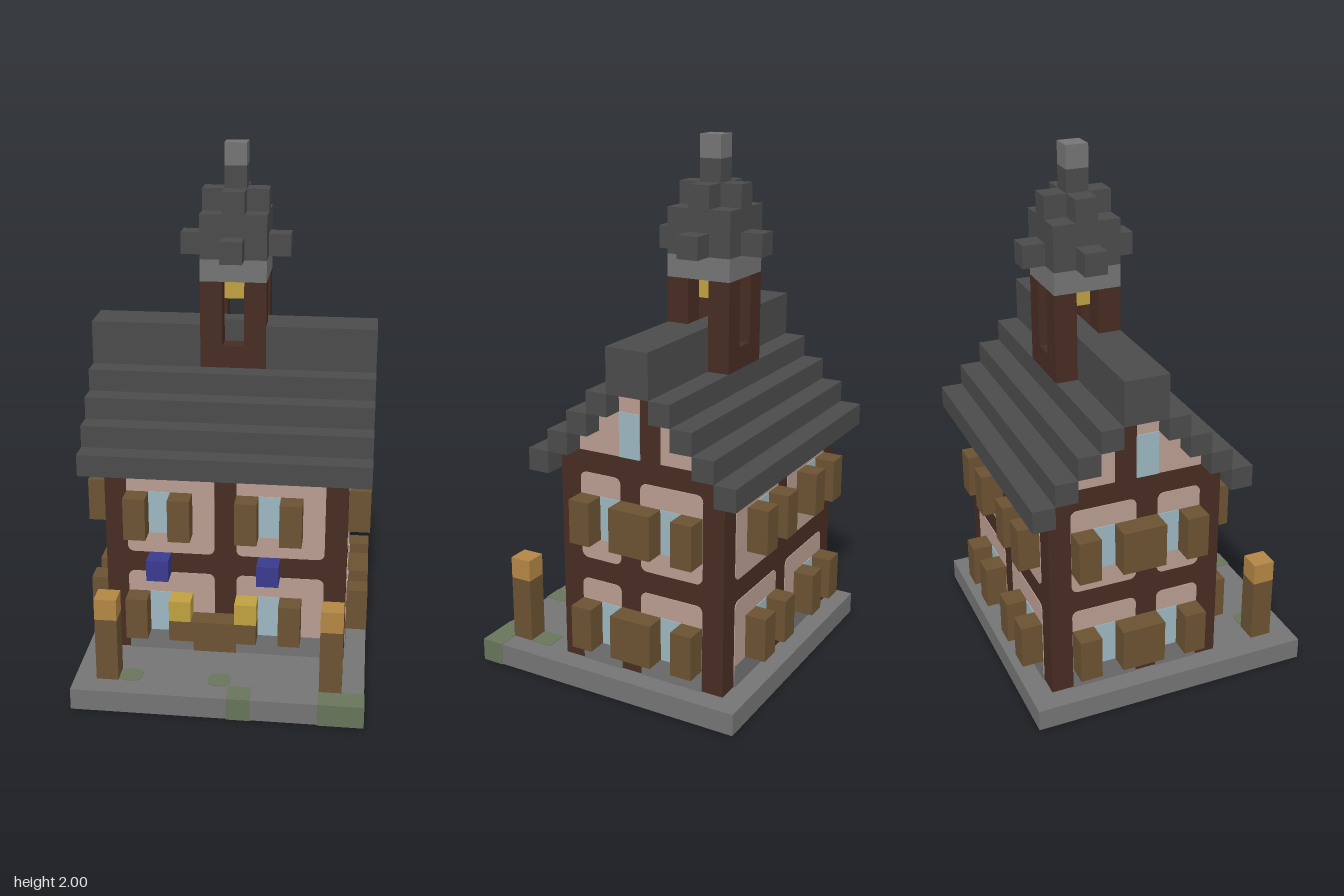
import * as THREE from 'three';

const U = 1 / 12; // one building block

const mat = (name, color) => Object.assign(new THREE.MeshStandardMaterial({ color }), { name });
const M = {
  slate: mat('slate', 0x4b4b4b),
  stone: mat('stone', 0x747474),
  timber: mat('timber', 0x472c22),
  plaster: mat('plaster', 0xb99d91),
  glass: mat('glass', 0x9db7c1),
  wood: mat('wood', 0x6b5233),
  gold: mat('gold', 0xbfa040),
  amber: mat('amber', 0xb38644),
  blue: mat('blue', 0x3a3a90),
  moss: mat('moss', 0x67745b),
};

// Outline with corners rounded by r
function panelShape(x0, y0, x1, y1, r) {
  const s = new THREE.Shape();
  if (!r) {
    s.moveTo(x0, y0).lineTo(x1, y0).lineTo(x1, y1).lineTo(x0, y1);
    return s;
  }
  s.moveTo(x0 + r, y0).lineTo(x1 - r, y0).absarc(x1 - r, y0 + r, r, -Math.PI / 2, 0);
  s.lineTo(x1, y1 - r).absarc(x1 - r, y1 - r, r, 0, Math.PI / 2);
  s.lineTo(x0 + r, y1).absarc(x0 + r, y1 - r, r, Math.PI / 2, Math.PI);
  s.lineTo(x0, y0 + r).absarc(x0 + r, y0 + r, r, Math.PI, Math.PI * 1.5);
  return s;
}

// The four walls: turn, direction of the world axis along the wall, distance from centre
const WALLS = {
  front: { turn: 0, sign: 1, x: 0, z: 2.5 * U },
  back: { turn: Math.PI, sign: -1, x: 0, z: -5.5 * U },
  right: { turn: Math.PI / 2, sign: -1, x: 5.5 * U, z: 0 },
  left: { turn: -Math.PI / 2, sign: 1, x: -5.5 * U, z: 0 },
};

export function createModel() {
  const root = new THREE.Group();
  root.name = 'timberHouse';

  // Block spanning whole cells, inclusive; x and z cells are centred on 0
  function block(name, m, i0, i1, j0, j1, k0, k1, grow = 0) {
    const g = new THREE.BoxGeometry(
      (i1 - i0 + 1) * U + grow, (j1 - j0 + 1) * U + grow, (k1 - k0 + 1) * U + grow);
    const mesh = new THREE.Mesh(g, m);
    mesh.position.set((i0 + i1) / 2 * U, (j0 + j1 + 1) / 2 * U, (k0 + k1) / 2 * U);
    mesh.name = name;
    root.add(mesh);
    return mesh;
  }

  // Thin plate on a wall, spanning cells a0..a1 along it and j0..j1 upward
  function plate(wall, name, m, a0, a1, j0, j1, layer = 1, r = 0) {
    const w = WALLS[wall];
    const e = [(a0 - 0.5) * U * w.sign, (a1 + 0.5) * U * w.sign].sort((p, q) => p - q);
    const g = new THREE.ExtrudeGeometry(panelShape(e[0], j0 * U, e[1], (j1 + 1) * U, r),
      { depth: 0.003 * layer, bevelEnabled: false, curveSegments: 4 });
    const mesh = new THREE.Mesh(g, m);
    mesh.rotation.y = w.turn;
    mesh.position.set(w.x, 0, w.z);
    mesh.name = name;
    root.add(mesh);
  }

  // Paved base with moss and the floor showing underneath
  block('base', M.stone, -6, 6, 0, 0, -6, 6);
  const floor = block('floor', M.wood, -4, 4, 0, 0, -4, 1);
  floor.position.y -= 0.002;
  for (const [i, k] of [[1, 6], [5, 6], [6, 6], [5, 4]]) block('moss', M.moss, i, i, 0, 0, k, k, 0.004);
  for (const [i, k] of [[-4, 5], [0, 5]]) {
    const s = panelShape(-U / 2, -U / 2, U / 2, U / 2, 0.028);
    const mesh = new THREE.Mesh(
      new THREE.ExtrudeGeometry(s, { depth: U + 0.004, bevelEnabled: false, curveSegments: 4 }), M.moss);
    mesh.rotation.x = -Math.PI / 2;
    mesh.position.set(i * U, -0.002, k * U);
    mesh.name = 'moss';
    root.add(mesh);
  }

  // Lamp posts
  for (const i of [-5, 5]) {
    block('lampPost', M.wood, i, i, 1, 3, 5, 5);
    block('lampHead', M.amber, i, i, 4, 4, 5, 5);
  }

  // Timber body and stepped gables
  block('body', M.timber, -5, 5, 1, 10, -5, 2);
  for (let s = 0; s < 3; s++) block('gable', M.timber, -5, 5, 11 + s, 11 + s, s - 4, 1 - s);

  // Plaster panels, stone footing and windows between the posts
  const bays = {
    front: { spans: [[-4, -1], [1, 4]], panes: [-3, 2] },
    back: { spans: [[-4, -1], [1, 4]], panes: [-3, 2] },
    right: { spans: [[-4, -2], [0, 1]], panes: [-3, 0] },
    left: { spans: [[-4, -2], [0, 1]], panes: [-3, 0] },
  };
  for (const [wall, { spans, panes }] of Object.entries(bays)) {
    for (const [a, b] of spans) {
      plate(wall, 'lowerPanel', M.plaster, a, b, 1, 4, 1, 0.025);
      plate(wall, 'upperPanel', M.plaster, a, b, 6, 9, 1, 0.025);
      plate(wall, 'footing', M.stone, a, b, 1, 1, 2);
    }
    for (const a of panes) for (const j of [2, 7]) plate(wall, 'window', M.glass, a, a, j, j + 1, 2);
  }

  // Gable plaster and attic window
  for (const wall of ['right', 'left']) {
    for (const [a, b, j] of [[-4, -3, 11], [0, 1, 11], [-3, -3, 12], [0, 0, 12], [-1, -1, 13]]) {
      plate(wall, 'gablePanel', M.plaster, a, b, j, j);
    }
    plate(wall, 'atticWindow', M.glass, -1, -1, 11, 12, 2);
  }

  // Shutters beside every window; two front ones carry lanterns
  for (const i of [-4, -2, 1, 3]) {
    const lantern = i === -2 || i === 1;
    block('frontShutter', M.wood, i, i, 7, 8, 3, 3);
    block('frontShutter', M.wood, i, i, 2, lantern ? 2 : 3, 3, 3);
    if (lantern) block('lantern', M.gold, i, i, 3, 3, 3, 3);
    for (const j of [2, 7]) block('backShutter', M.wood, i, i, j, j + 1, -6, -6);
  }
  for (const i of [-6, 6]) for (const j of [2, 7]) {
    for (const [k0, k1] of [[1, 1], [-2, -1], [-4, -4]]) block('sideShutter', M.wood, i, i, j, j + 1, k0, k1);
  }

  // Door with its canopy, and flower boxes
  plate('front', 'door', M.wood, -1, 0, 1, 2, 3);
  block('doorCanopy', M.wood, -1, 0, 2, 2, 3, 3);
  for (const i of [-3, 2]) block('flowerBox', M.blue, i, i, 5, 5, 3, 3);

  // Stepped roof and ridge, the ridge broken by the tower
  for (let s = 0; s < 4; s++) {
    block('roofFront', M.slate, -6, 6, 10 + s, 10 + s, 3 - s, 3 - s);
    block('roofBack', M.slate, -6, 6, 10 + s, 10 + s, s - 6, s - 6);
  }
  block('ridge', M.slate, -6, -2, 14, 15, -2, -1);
  block('ridge', M.slate, 2, 6, 14, 15, -2, -1);
  block('ridgeCore', M.slate, -1, 1, 14, 15, -2, -2);

  // Bell tower
  for (const k of [-3, -1]) {
    for (const i of [-1, 1]) block('towerPost', M.timber, i, i, 14, 17, k, k);
    block('towerSill', M.timber, 0, 0, 14, 14, k, k);
  }
  block('bell', M.gold, 0, 0, 17, 17, -2, -2);
  block('towerCornice', M.stone, -1, 1, 18, 18, -3, -1);

  // Spire
  block('spireBase', M.slate, -1, 1, 19, 20, -3, -1);
  block('spireArm', M.slate, -2, 2, 19, 19, -2, -2);
  block('spireArm', M.slate, 0, 0, 19, 19, -4, 0);
  block('spireCross', M.slate, -1, 1, 21, 21, -2, -2);
  for (const k of [-3, -1]) block('spireCross', M.slate, 0, 0, 21, 21, k, k);
  block('spireNeck', M.slate, 0, 0, 22, 22, -2, -2);
  block('spireTip', M.stone, 0, 0, 23, 23, -2, -2);

  return root;
}
